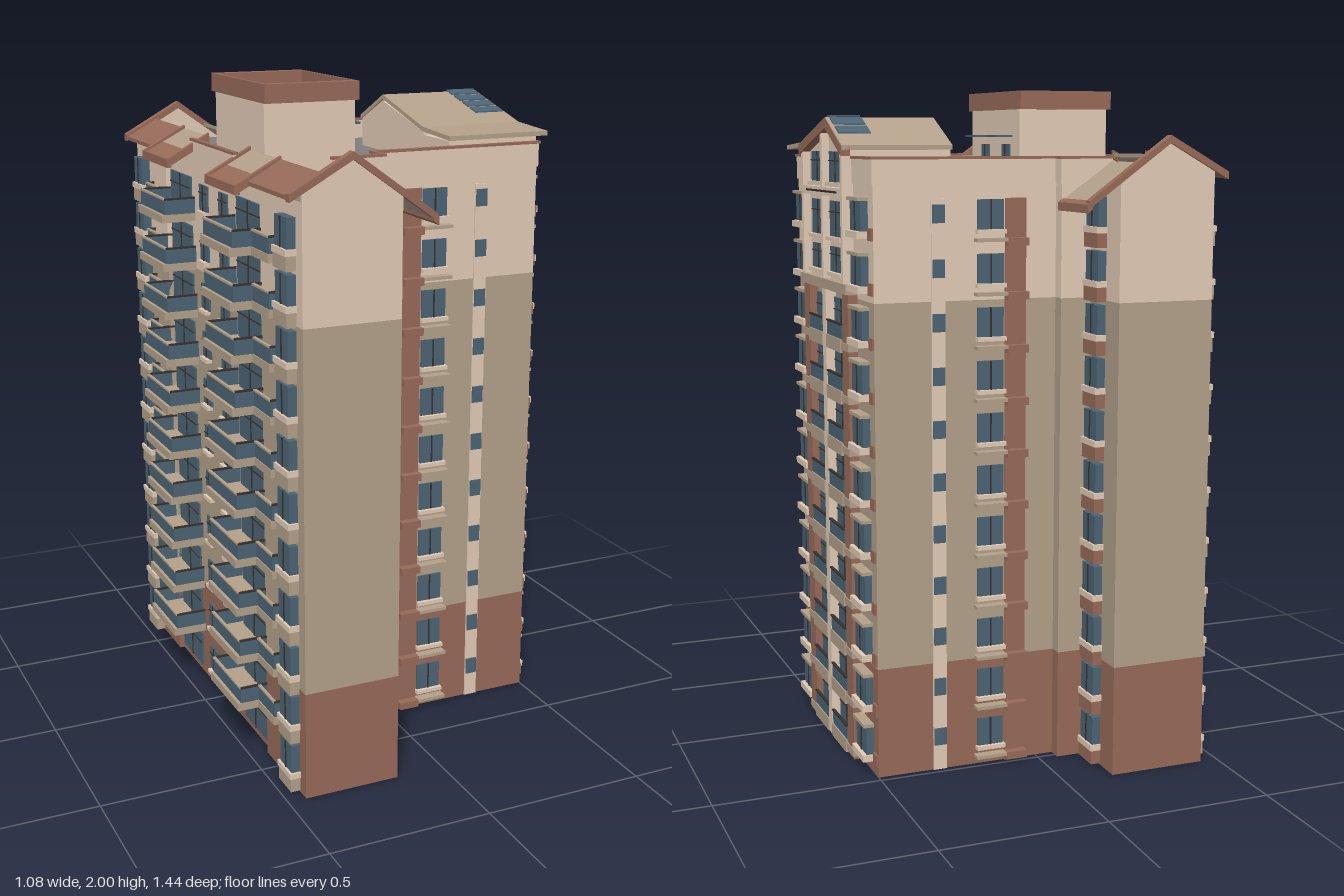
import * as THREE from 'three';
import { mergeGeometries } from 'three/addons/utils/BufferGeometryUtils.js';

const mat = (name, color) => {
  const m = new THREE.MeshStandardMaterial({ color, side: THREE.DoubleSide });
  m.name = name;
  return m;
};

export function createModel() {
  const group = new THREE.Group();
  const M = {
    beige: mat('light beige render', 0xe2cbb6),
    khaki: mat('khaki render', 0xb3a08a),
    brown: mat('brown brick', 0x976b59),
    glass: mat('blue glass', 0x4b6473),
    roof: mat('grey roofing', 0x7e7e7e),
    dark: mat('dark metal', 0x38312e),
  };

  // Pieces sharing a name and colour are merged into one mesh
  const parts = new Map();
  const put = (name, m, geo) => {
    const key = name + '|' + m;
    if (!parts.has(key)) parts.set(key, { name, m, list: [] });
    parts.get(key).list.push(geo.index ? geo.toNonIndexed() : geo);
  };
  const box = (name, m, x0, x1, y0, y1, z0, z1) => put(name, m,
    new THREE.BoxGeometry(Math.abs(x1 - x0), Math.abs(y1 - y0), Math.abs(z1 - z0))
      .translate((x0 + x1) / 2, (y0 + y1) / 2, (z0 + z1) / 2));
  const shapeOf = pts => new THREE.Shape(pts.map(p => new THREE.Vector2(p[0], p[1])));
  const extrude = (pts, depth) => new THREE.ExtrudeGeometry(shapeOf(pts), { depth, bevelEnabled: false });
  // Profile in (x, y) swept along z, or profile in (z, y) swept along x
  const prismZ = (name, m, pts, z0, z1) => put(name, m, extrude(pts, z1 - z0).translate(0, 0, z0));
  const prismX = (name, m, pts, x0, x1) => put(name, m,
    extrude(pts.map(([z, y]) => [-z, y]), x1 - x0).rotateY(Math.PI / 2).translate(x0, 0, 0));
  const strip = (a, b, t) => [a, b, [b[0], b[1] + t], [a[0], a[1] + t]];

  // Plan outline (x, z), raised as three colour bands with a flat roof
  const outline = [[-0.445, -0.71], [-0.445, -0.41], [-0.43, -0.41], [-0.43, 0.41], [-0.445, 0.41], [-0.445, 0.71],
    [-0.15, 0.71], [-0.15, 0.39], [-0.055, 0.39], [-0.055, 0.32], [0.5, 0.32],
    [0.5, -0.48], [-0.055, -0.48], [-0.055, -0.52], [-0.15, -0.52], [-0.15, -0.71]];
  const walls = (name, m, y0, y1) => outline.forEach(([x, z], i) => {
    const [u, w] = outline[(i + 1) % outline.length];
    put(name, m, new THREE.PlaneGeometry(Math.hypot(u - x, w - z), y1 - y0)
      .rotateY(Math.atan2(z - w, u - x)).translate((x + u) / 2, (y0 + y1) / 2, (z + w) / 2));
  });
  walls('baseWalls', 'brown', 0, 0.33);
  walls('middleWalls', 'khaki', 0.33, 1.4);
  walls('upperWalls', 'beige', 1.4, 1.74);
  put('flatRoof', 'roof', new THREE.ShapeGeometry(shapeOf(outline.map(([x, z]) => [x, -z])))
    .rotateX(-Math.PI / 2).translate(0, 1.74, 0));

  // Parapet with brown coping around the main block
  const parapet = [
    [[-0.21, 0.39], [-0.055, 0.39], [-0.055, 0.32], [0.5, 0.32], [0.5, -0.48],
      [-0.055, -0.48], [-0.055, -0.52], [-0.21, -0.52]],
    [[-0.43, -0.18], [-0.43, 0.18]]];
  for (const line of parapet) for (let i = 0; i + 1 < line.length; i++) {
    const [a, b] = [line[i], line[i + 1]];
    const x0 = Math.min(a[0], b[0]), x1 = Math.max(a[0], b[0]);
    const z0 = Math.min(a[1], b[1]), z1 = Math.max(a[1], b[1]);
    box('parapet', 'beige', x0 - 0.004, x1 + 0.004, 1.73, 1.8, z0 - 0.004, z1 + 0.004);
    box('parapetCoping', 'brown', x0 - 0.008, x1 + 0.008, 1.8, 1.808, z0 - 0.008, z1 + 0.008);
  }

  // Window on a wall facing along x or z: glass, dark frame bars and a sill
  const windowX = (x, d, y, h, z0, z1, sill = 'beige') => {
    const zm = (z0 + z1) / 2;
    box('windowGlass', 'glass', x, x + d * 0.006, y, y + h, z0, z1);
    box('windowFrame', 'dark', x, x + d * 0.009, y, y + h, zm - 0.002, zm + 0.002);
    box('windowFrame', 'dark', x, x + d * 0.009, y + h * 0.68, y + h * 0.68 + 0.003, z0, z1);
    if (sill) box('windowSill', sill, x, x + d * 0.018, y - 0.012, y, z0 - 0.005, z1 + 0.005);
  };
  const windowZ = (z, d, y, h, x0, x1) => {
    const xm = (x0 + x1) / 2;
    box('windowGlass', 'glass', x0, x1, y, y + h, z, z + d * 0.006);
    box('windowFrame', 'dark', xm - 0.002, xm + 0.002, y, y + h, z, z + d * 0.009);
    box('windowSill', 'beige', x0 - 0.005, x1 + 0.005, y - 0.012, y, z, z + d * 0.018);
  };

  const floors = 11, step = 0.1545;

  // Side facades of the main block
  for (const [z, d] of [[0.32, 1], [-0.48, -1]]) {
    box('brickStripe', 'brown', 0.04, 0.105, 0, 1.69, z, z + d * 0.005);
    box('paleStripe', 'beige', 0.288, 0.33, 0, 1.69, z, z + d * 0.004);
    for (let k = 0; k < floors; k++) {
      const y = 0.057 + k * step;
      windowZ(z, d, y, 0.085, 0.11, 0.19);
      box('sideLedge', 'brown', 0.04, 0.105, y - 0.048, y - 0.025, z, z + d * 0.03);
      box('sideLedge', 'khaki', 0.105, 0.2, y - 0.035, y - 0.025, z, z + d * 0.03);
      box('smallWindow', 'glass', 0.29, 0.327, y + 0.02, y + 0.072, z, z + d * 0.008);
    }
  }

  // Long facade of the main block: brick piers, balconies and bay windows
  for (const [z0, z1] of [[0.1, 0.165], [-0.32, -0.257]])
    box('brickPier', 'brown', 0.5, 0.528, 0, 1.41, z0, z1);
  box('centrePier', 'beige', 0.5, 0.532, 0, 1.42, -0.096, -0.058);
  for (let k = 0; k < floors; k++) {
    const y = 0.035 + k * step;
    for (const [z0, z1] of [[0.168, 0.272], [-0.432, -0.33]]) {
      box('bayWindow', 'glass', 0.5, 0.522, y + 0.02, y + 0.105, z0, z1);
      box('bayFrame', 'dark', 0.5, 0.525, y + 0.02, y + 0.105, (z0 + z1) / 2 - 0.002, (z0 + z1) / 2 + 0.002);
      box('bayLedge', 'beige', 0.5, 0.535, y, y + 0.02, z0 - 0.006, z1 + 0.006);
      box('bayLedge', 'khaki', 0.5, 0.532, y + 0.105, y + 0.115, z0 - 0.004, z1 + 0.004);
    }
    for (const z of [0.3, -0.46])
      box('cornerBand', 'brown', 0.5, 0.506, y - 0.005, y + 0.03, z - 0.018, z + 0.018);
    if (k > 8) continue;
    box('pierBand', 'khaki', 0.5, 0.531, y - 0.026, y - 0.004, 0.098, 0.167);
    box('pierBand', 'khaki', 0.5, 0.531, y - 0.026, y - 0.004, -0.322, -0.252);
    for (const [z0, z1] of [[-0.056, 0.098], [-0.252, -0.098]]) {
      windowX(0.5, 1, y, 0.115, z0, z1, null);
      box('balconySlab', 'khaki', 0.5, 0.534, y - 0.036, y + 0.004, z0, z1);
      box('balconyRailing', 'glass', 0.526, 0.53, y, y + 0.045, z0, z1);
      box('balconyHandrail', 'dark', 0.524, 0.533, y + 0.045, y + 0.05, z0, z1);
    }
  }
  box('gableCornice', 'khaki', 0.5, 0.538, 1.412, 1.442, -0.325, 0.175);

  // Gabled top of the long facade
  prismX('facadeGable', 'beige', [[-0.29, 1.44], [0.15, 1.44], [0.15, 1.83], [-0.14, 1.9], [-0.29, 1.83]], 0.2, 0.512);
  box('facadeGableSide', 'beige', 0.2, 0.5, 1.72, 1.822, 0.15, 0.312);
  for (const [a, b] of [[[-0.305, 1.825], [-0.14, 1.905]], [[-0.14, 1.905], [0.14, 1.832]], [[0.14, 1.832], [0.317, 1.822]]])
    prismX('facadeGableRoof', 'khaki', strip(a, b, 0.014), 0.2, 0.537);
  for (const [a, b] of [[[-0.305, 1.808], [-0.14, 1.888]], [[-0.14, 1.888], [0.16, 1.81]]])
    prismX('facadeGableTrim', 'brown', strip(a, b, 0.03), 0.512, 0.54);
  for (const [z0, z1] of [[-0.048, 0.092], [-0.245, -0.105]])
    for (const [y, h] of [[1.465, 0.075], [1.57, 0.105], [1.73, 0.09]]) windowX(0.512, 1, y, h, z0, z1);
  for (const z of [-0.295, -0.086, 0.132])
    box('gableFramePost', 'beige', 0.512, 0.535, 1.44, z === -0.086 ? 1.88 : 1.82, z, z + 0.02);
  box('gableFrameBeam', 'beige', 0.512, 0.535, 1.69, 1.715, -0.29, 0.15);
  box('gableFrameRail', 'dark', 0.535, 0.538, 1.7, 1.706, -0.24, 0.09);
  for (let i = 0; i < 6; i++) {
    // Skylights follow the two slopes
    const z0 = -0.245 + i * 0.053, z1 = z0 + 0.04;
    const h = z => 1.922 - (z < -0.14 ? (-0.14 - z) * 0.485 : (z + 0.14) * 0.261);
    prismX('skylight', 'glass', strip([z0, h(z0)], [z1, h(z1)], 0.004), 0.43, 0.528);
  }

  // Wings: gabled end walls, sloping roof panels, windows and balconies, mirrored in z
  const ridge = [-0.3, 1.845], eastEave = [-0.05, 1.665], westEave = [-0.485, 1.743];
  const east = x => 1.845 - (x + 0.3) * 0.72, wst = x => 1.845 + (x + 0.3) * 0.55;
  for (const s of [1, -1]) {
    const Z = (f, name, m, pts, a, b) => f(name, m, pts, Math.min(s * a, s * b), Math.max(s * a, s * b));
    Z(prismZ, 'wingGable', 'beige',
      [[-0.445, 1.7], [-0.15, 1.7], [-0.15, east(-0.15)], ridge, [-0.445, wst(-0.445)]], 0.7, 0.711);
    Z(prismZ, 'wingGableTrim', 'brown', strip(ridge, eastEave, 0.022), 0.695, 0.72);
    Z(prismZ, 'wingGableTrim', 'brown', strip(westEave, ridge, 0.022), 0.695, 0.72);
    const inner = s > 0 ? 0.385 : 0.515;
    Z(prismZ, 'wingRoofEast', 'khaki', strip([-0.21, east(-0.21)], [-0.055, east(-0.055)], 0.012), inner, 0.7);
    Z(prismZ, 'wingRoofEave', 'brown', strip([-0.06, east(-0.06) - 0.008], [-0.045, east(-0.045) - 0.008], 0.024), inner, 0.72);
    Z(prismZ, 'wingRoofWest', 'brown', strip([-0.48, wst(-0.48)], [-0.38, wst(-0.38)], 0.012), 0.41, 0.7);

    // Lean-to roof over the rear balconies
    Z(prismZ, 'rearRoof', 'khaki', strip([-0.455, 1.761], [-0.38, 1.8], 0.012), 0.18, 0.405);
    Z(prismZ, 'rearRoofTrim', 'brown', strip([-0.51, 1.733], [-0.455, 1.761], 0.012), 0.18, 0.405);
    for (const z of [0.17, 0.4])
      Z(prismZ, 'rearRoofTrim', 'brown', strip([-0.515, 1.724], [-0.38, 1.796], 0.026), z, z + 0.015);
    box('rearRoofTrim', 'brown', -0.52, -0.505, 1.722, 1.748, s * 0.17, s * 0.415);
    box('rearRoofWall', 'beige', -0.43, -0.38, 1.7, 1.77, s * 0.18, s * 0.405);

    for (let k = 0; k < floors; k++) {
      const y = 0.05 + k * step;
      // Bay windows on the inner and rear faces of the wing
      for (const [x, d, z0, z1] of [[-0.15, 1, 0.54, 0.622], [-0.445, -1, 0.58, 0.665]]) {
        const zm = (z0 + z1) / 2;
        box('wingBay', 'glass', x, x + d * 0.026, y + 0.015, y + 0.1, s * z0, s * z1);
        box('wingBayFrame', 'dark', x, x + d * 0.029, y + 0.015, y + 0.1, s * (zm - 0.002), s * (zm + 0.002));
        box('wingBayLedge', 'beige', x, x + d * 0.033, y - 0.003, y + 0.015, s * (z0 - 0.008), s * (z1 + 0.006));
        box('wingBayLedge', d > 0 ? 'brown' : 'khaki', x, x + d * 0.03, y - 0.045, y - 0.003, s * (z0 - 0.005), s * (z1 + 0.003));
      }
      if (s > 0) {
        box('wingBrick', 'brown', -0.15, -0.146, y - 0.05, y + 0.1, 0.395, 0.53);
        windowX(-0.146, 1, y, 0.08, 0.415, 0.465);
        box('wingLedge', 'khaki', -0.15, -0.115, y - 0.045, y - 0.012, 0.4, 0.53);
      }
      // Rear face
      windowX(-0.43, -1, y - 0.025, 0.115, s * 0.2, s * 0.39, null);
      windowX(-0.43, -1, y, 0.08, s * 0.05, s * 0.12);
      if (k > 9) continue;
      const b = 0.16 + k * step;
      box('rearBalconySlab', 'khaki', -0.54, -0.43, b, b + 0.025, s * 0.175, s * 0.415);
      box('rearBalconySlab', 'khaki', -0.475, -0.445, b, b + 0.025, s * 0.415, s * 0.54);
      for (const [x, z0, z1] of [[-0.53, 0.178, 0.412], [-0.472, 0.415, 0.537]]) {
        box('rearRailing', 'glass', x, x + 0.005, b + 0.025, b + 0.07, s * z0, s * z1);
        box('rearHandrail', 'khaki', x - 0.003, x + 0.006, b + 0.07, b + 0.076, s * z0, s * z1);
        for (const z of [z0, z1]) {
          box('rearRailing', 'glass', x, -0.43, b + 0.025, b + 0.07, s * (z - 0.002), s * (z + 0.002));
          box('rearHandrail', 'dark', x, -0.43, b + 0.07, b + 0.076, s * (z - 0.003), s * (z + 0.003));
        }
      }
    }
  }

  // Rooftop stair house with a rimmed roof, doors and glass canopies
  box('stairHouse', 'beige', -0.345, -0.055, 1.74, 1.955, -0.2, 0.2);
  box('stairHouseRoof', 'roof', -0.345, -0.055, 1.955, 1.962, -0.2, 0.2);
  for (const z of [-0.222, 0.187]) box('stairHouseRim', 'brown', -0.35, -0.05, 1.945, 2, z, z + 0.033);
  for (const x of [-0.35, -0.06]) box('stairHouseRim', 'brown', x, x + 0.01, 1.945, 2, -0.2, 0.2);
  for (const z of [-0.1, 0.073]) {
    box('roofDoor', 'glass', -0.055, -0.049, 1.74, 1.84, z - 0.03, z + 0.03);
    box('roofDoorFrame', 'dark', -0.055, -0.047, 1.74, 1.84, z - 0.003, z + 0.003);
    box('doorCanopy', 'glass', -0.055, 0, 1.862, 1.868, z - 0.045, z + 0.045);
  }

  for (const { name, m, list } of parts.values()) {
    const mesh = new THREE.Mesh(mergeGeometries(list), M[m]);
    mesh.name = name;
    group.add(mesh);
  }
  return group;
}
